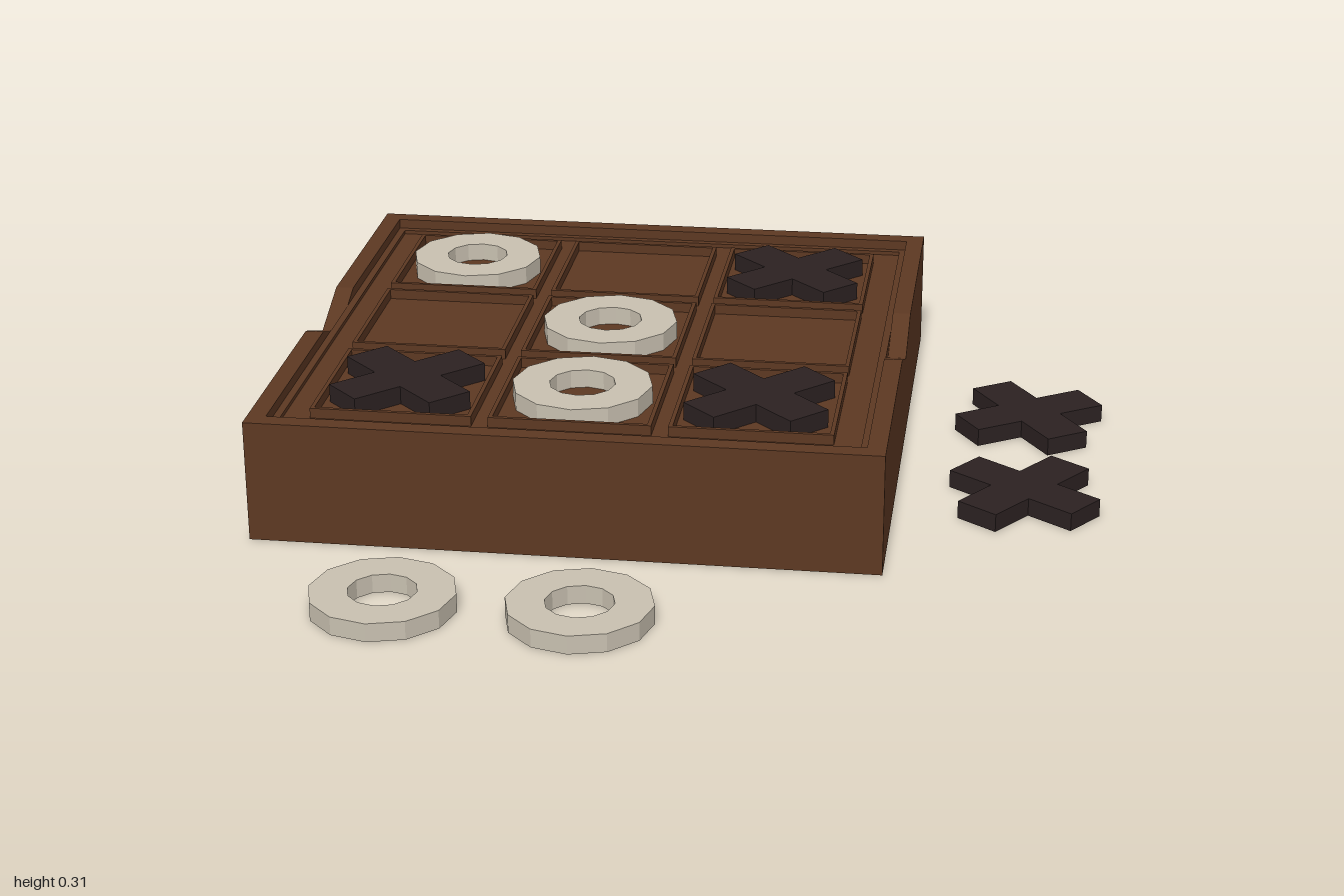
import * as THREE from 'three';

const material = (name, color) => {
  const m = new THREE.MeshStandardMaterial({ color });
  m.name = name;
  return m;
};

export function createModel() {
  const wood = material('brown wood', 0x5c3822);
  const pale = material('pale ivory', 0xc8c0b0);
  const dark = material('dark wood', 0x2b2121);

  const model = new THREE.Group();
  model.name = 'noughtsAndCrosses';

  const add = (parent, name, geometry, mat, x = 0, y = 0, z = 0) => {
    const mesh = new THREE.Mesh(geometry, mat);
    mesh.name = name;
    mesh.position.set(x, y, z);
    parent.add(mesh);
    return mesh;
  };

  // Upright extrusion standing on y = 0
  const slab = (shape, height) =>
    new THREE.ExtrudeGeometry(shape, { depth: height, bevelEnabled: false }).rotateX(-Math.PI / 2);

  const square = (half) => [[-half, -half], [half, -half], [half, half], [-half, half]]
    .map(([x, y]) => new THREE.Vector2(x, y));

  // Square frame between two half-widths
  const frame = (outer, inner, height) => {
    const shape = new THREE.Shape(square(outer));
    shape.holes.push(new THREE.Path(square(inner)));
    return slab(shape, height);
  };

  // Board, built around its own centre
  const board = new THREE.Group();
  board.name = 'board';
  board.position.set(-0.25, 0, -0.24);
  model.add(board);

  const half = 0.75, rim = 0.045, top = 0.3, floor = 0.265;
  const inside = half - rim;
  add(board, 'playingSurface', new THREE.BoxGeometry(inside * 2, floor, inside * 2), wood, 0, floor / 2, 0);
  add(board, 'innerLip', frame(inside, inside - 0.018, 0.01), wood, 0, floor, 0);

  for (const s of [-1, 1]) {
    // Front and back walls
    add(board, 'endWall', new THREE.BoxGeometry(inside * 2, top, rim), wood, 0, top / 2, s * (half - rim / 2));

    // Side walls with a V-shaped finger notch
    const side = new THREE.Shape([
      [-half, 0], [half, 0], [half, top], [0.158, top], [0, 0.24], [-0.158, top], [-half, top],
    ].map(([x, y]) => new THREE.Vector2(x, y)));
    const wall = new THREE.ExtrudeGeometry(side, { depth: rim, bevelEnabled: false })
      .translate(0, 0, -rim / 2).rotateY(-Math.PI / 2);
    add(board, 'sideWall', wall, wood, s * (half - rim / 2), 0, 0);
  }

  // Raised frames around the nine cells
  const pitch = 0.428;
  for (let row = -1; row <= 1; row++) {
    for (let col = -1; col <= 1; col++) {
      add(board, 'cellFrame', frame(0.194, 0.184, 0.025), wood, col * pitch, floor, row * pitch);
    }
  }

  // Playing pieces
  const thick = 0.045;
  const circle = (r) => Array.from({ length: 12 }, (_, i) =>
    new THREE.Vector2(Math.cos(i * Math.PI / 6) * r, Math.sin(i * Math.PI / 6) * r));
  const ringShape = new THREE.Shape(circle(0.17));
  ringShape.holes.push(new THREE.Path(circle(0.08)));
  const ringGeometry = slab(ringShape, thick);

  const a = 0.0575, b = 0.185;
  const crossGeometry = slab(new THREE.Shape([
    [b, -a], [b, a], [a, a], [a, b], [-a, b], [-a, a],
    [-b, a], [-b, -a], [-a, -a], [-a, -b], [a, -b], [a, -a],
  ].map(([x, y]) => new THREE.Vector2(x, y))), thick);

  const ring = (x, y, z) => add(model, 'ringPiece', ringGeometry, pale, x, y, z);
  const cross = (x, y, z, degrees) => {
    add(model, 'crossPiece', crossGeometry, dark, x, y, z).rotation.y = THREE.MathUtils.degToRad(degrees);
  };

  // Pieces in play, as column and row
  for (const [col, row] of [[-1, -1], [0, 0], [0, 1]]) {
    ring(-0.25 + col * pitch, floor, -0.24 + row * pitch);
  }
  for (const [col, row] of [[1, -1], [-1, 1], [1, 1]]) {
    cross(-0.25 + col * pitch, floor, -0.24 + row * pitch, 45);
  }

  // Spare pieces beside the board
  ring(-0.605, 0, 0.82);
  ring(-0.155, 0, 0.82);
  cross(0.812, 0, -0.415, 33);
  cross(0.812, 0, 0.058, 54);

  return model;
}
